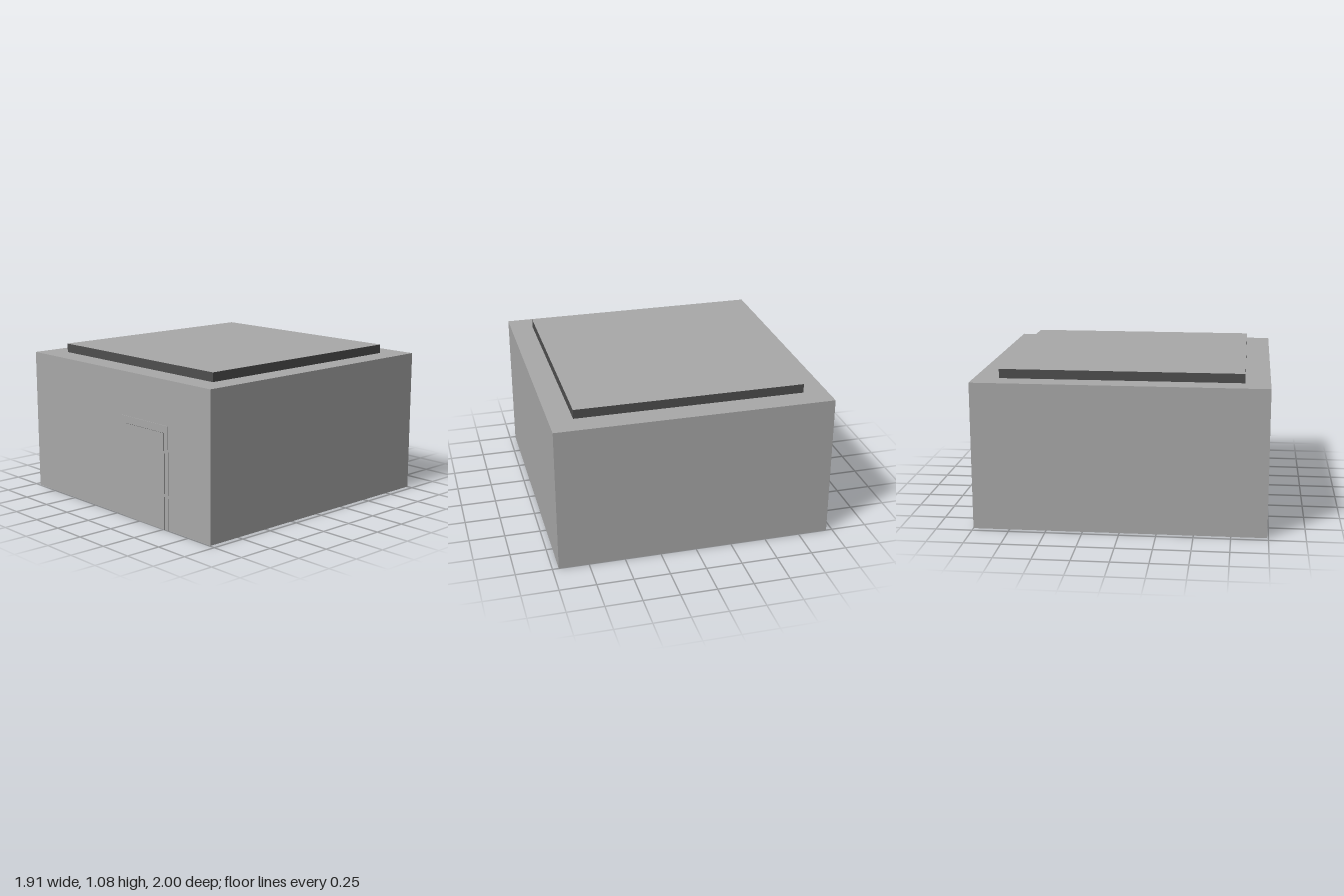
import * as THREE from 'three';

export function createModel() {
  const model = new THREE.Group();
  const wall = new THREE.MeshStandardMaterial({ color: 0xa8a8a8 });
  wall.name = 'wallGrey';
  const dark = new THREE.MeshStandardMaterial({ color: 0x4e4e4e });
  dark.name = 'darkGrey';

  // Box given by its lower and upper corners
  function block(name, min, max, material) {
    const size = max.map((v, i) => v - min[i]);
    const mesh = new THREE.Mesh(new THREE.BoxGeometry(...size), material);
    mesh.position.set(...max.map((v, i) => (v + min[i]) / 2));
    mesh.name = name;
    model.add(mesh);
  }

  // Main building
  block('building', [-0.957, 0, -1], [0.957, 1.015, 0.992], wall);

  // Raised roof slab: dark rim, light top (face order +x -x +y -y +z -z)
  block('roofSlab', [-0.793, 1.015, -0.83], [0.793, 1.078, 0.822],
    [dark, dark, wall, dark, dark, dark]);

  // Door frame and door panel, each standing slightly proud of the front wall
  block('doorFrame', [0.07, 0, 0.992], [0.547, 0.71, 0.996], wall);
  block('door', [0.105, 0, 0.996], [0.511, 0.66, 1],
    [dark, dark, dark, dark, wall, dark]);

  return model;
}
